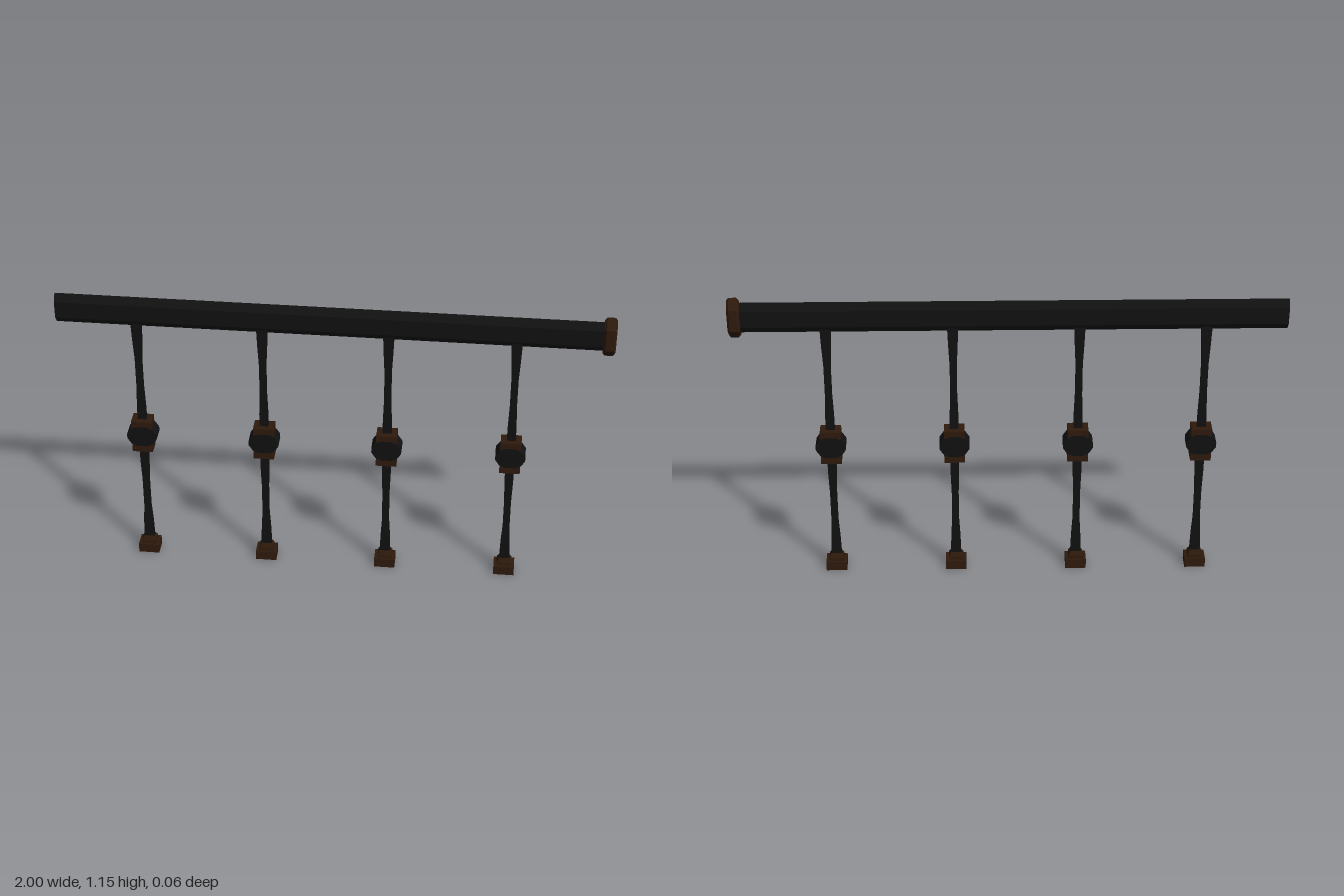
import * as THREE from 'three';

const iron = new THREE.MeshStandardMaterial({ color: 0x111111, flatShading: true });
const bronze = new THREE.MeshStandardMaterial({ color: 0x2e1a0c, flatShading: true });

function part(name, geometry, material, x = 0, y = 0, z = 0) {
  const mesh = new THREE.Mesh(geometry, material);
  mesh.name = name;
  mesh.position.set(x, y, z);
  return mesh;
}

function outline(points) {
  return new THREE.Shape(points.map(([x, y]) => new THREE.Vector2(x, y)));
}

// Upright hexagon, pointed at top and bottom, drawn out along x
function hexBar(halfWidth, halfHeight, shoulder, x0, x1, bevel = 0) {
  const shape = outline([
    [0, -halfHeight], [halfWidth, -shoulder], [halfWidth, shoulder],
    [0, halfHeight], [-halfWidth, shoulder], [-halfWidth, -shoulder],
  ]);
  const geometry = new THREE.ExtrudeGeometry(shape, {
    depth: x1 - x0 - 2 * bevel, bevelEnabled: bevel > 0, bevelSegments: 1,
    bevelSize: bevel, bevelThickness: bevel, bevelOffset: -bevel,
  });
  return geometry.rotateY(Math.PI / 2).translate(x0 + bevel, 0, 0);
}

// Four-sided tapered bar from [halfWidth, y] pairs, flattened in z
function squareBar(profile, flatten) {
  const points = profile.map(([w, y]) => new THREE.Vector2(w * Math.SQRT2, y));
  return new THREE.LatheGeometry(points, 4).rotateY(Math.PI / 4).scale(1, 1, flatten);
}

function baluster() {
  const group = new THREE.Group();
  group.name = 'baluster';

  // Slender shaft, flared at both ends and at the collar
  const shaft = [
    [0.02, 0.04], [0.019, 0.08], [0.017, 0.14], [0.013, 0.21], [0.013, 0.33], [0.016, 0.42],
    [0.017, 0.54], [0.016, 0.66], [0.013, 0.75], [0.013, 0.87], [0.017, 0.95], [0.02, 1.03],
  ];
  group.add(part('shaft', squareBar(shaft, 0.5), iron));

  // Stepped foot
  group.add(part('footPlate', new THREE.BoxGeometry(0.078, 0.037, 0.062), bronze, 0, 0.0185));
  const step = [[0, 0.036], [0.028, 0.036], [0.027, 0.05], [0.019, 0.064], [0, 0.064]];
  group.add(part('footStep', squareBar(step, 0.8), bronze));

  // Collar: a faceted boss between two blocks
  group.add(part('lowerBlock', new THREE.BoxGeometry(0.076, 0.04, 0.06), bronze, 0, 0.495));
  group.add(part('upperBlock', new THREE.BoxGeometry(0.076, 0.04, 0.06), bronze, 0, 0.587));
  const boss = outline([
    [-0.02, -0.042], [0.02, -0.042], [0.04, -0.032], [0.055, -0.009], [0.055, 0.009], [0.04, 0.032],
    [0.02, 0.042], [-0.02, 0.042], [-0.04, 0.032], [-0.055, 0.009], [-0.055, -0.009], [-0.04, -0.032],
  ]);
  const bossGeometry = new THREE.ExtrudeGeometry(boss, { depth: 0.062, bevelEnabled: false });
  group.add(part('boss', bossGeometry, iron, 0, 0.543, -0.031));
  return group;
}

export function createModel() {
  const model = new THREE.Group();
  model.name = 'railing';

  // Handrail with an end cap on one side
  model.add(part('handrail', hexBar(0.02, 0.059, 0.032, -1, 0.965), iron, 0, 1.07));
  model.add(part('railEndCap', hexBar(0.03, 0.079, 0.042, 0.955, 1, 0.008), bronze, 0, 1.07));

  // Evenly spaced balusters
  for (let i = 0; i < 4; i++) {
    const post = baluster();
    post.position.x = -0.71 + i * 0.455;
    model.add(post);
  }
  return model;
}
